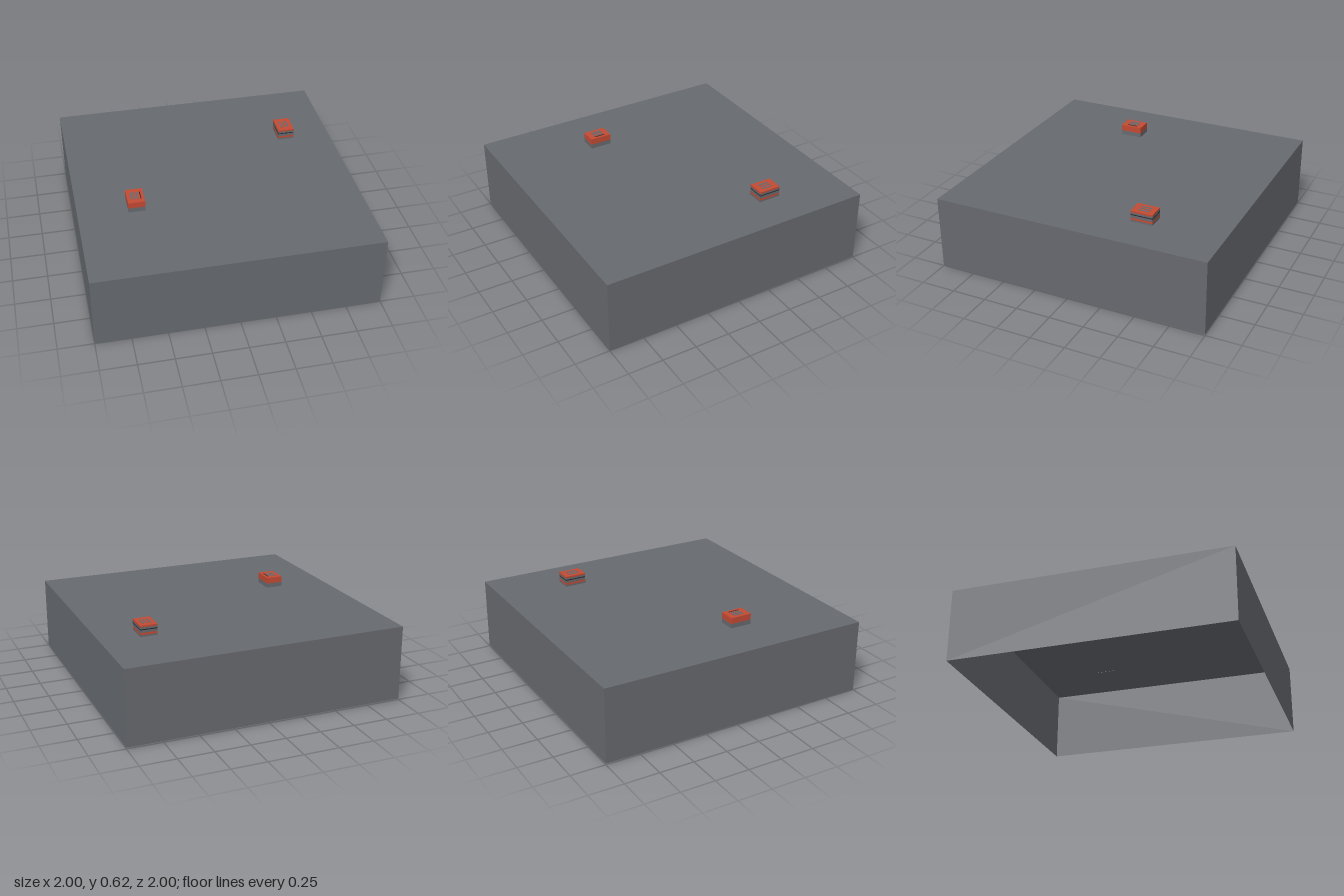
import * as THREE from 'three';

const grey = new THREE.MeshStandardMaterial({ color: 0x66696e, side: THREE.DoubleSide });
grey.name = 'slate grey';
const red = new THREE.MeshStandardMaterial({ color: 0xc24a33 });
red.name = 'brick red';
const dark = new THREE.MeshStandardMaterial({ color: 0x26282c });
dark.name = 'dark gap';

function box(parent, name, material, size, position) {
  const mesh = new THREE.Mesh(new THREE.BoxGeometry(...size), material);
  mesh.name = name;
  mesh.position.set(...position);
  parent.add(mesh);
}

// One flat sheet, placed and turned
function sheet(parent, name, w, h, position, rotation) {
  const mesh = new THREE.Mesh(new THREE.PlaneGeometry(w, h), grey);
  mesh.name = name;
  mesh.position.set(...position);
  mesh.rotation.set(...rotation);
  parent.add(mesh);
}

// Small block made of stacked layers: [material, bottom, top]
function rooftopUnit(name, x, y, z, layers, slots) {
  const unit = new THREE.Group();
  unit.name = name;
  unit.position.set(x, y, z);
  layers.forEach(([material, bottom, top]) => {
    box(unit, 'unitLayer', material, [0.12, top - bottom, 0.16], [0, (bottom + top) / 2, 0]);
  });
  // Slots on the lid
  const lid = layers[layers.length - 1][2];
  slots.forEach(([material, sx, width]) => {
    box(unit, 'lidSlot', material, [width, 0.003, 0.08], [sx, lid + 0.0005, 0]);
  });
  return unit;
}

export function createModel() {
  const model = new THREE.Group();
  model.name = 'slabWithUnits';

  // Hollow shell with an open underside, leaning very slightly forward
  const shell = new THREE.Group();
  shell.name = 'shell';
  const height = 0.535;
  const mid = height / 2;
  sheet(shell, 'roof', 2, 2, [0, height, 0], [-Math.PI / 2, 0, 0]);
  sheet(shell, 'frontWall', 2, height, [0, mid, 1], [0, 0, 0]);
  sheet(shell, 'backWall', 2, height, [0, mid, -1], [0, Math.PI, 0]);
  for (const side of [-1, 1]) {
    sheet(shell, side > 0 ? 'leftWall' : 'rightWall', 2, height, [side, mid, 0], [0, side * Math.PI / 2, 0]);
  }
  shell.position.y = 0.004;
  shell.rotation.x = 0.004;
  model.add(shell);

  // Two striped units standing on the roof
  model.add(rooftopUnit('frontUnit', -0.587, 0.535, 0.245,
    [[grey, 0, 0.036], [red, 0.036, 0.08]],
    [[grey, -0.027, 0.014], [grey, -0.006, 0.012], [grey, 0.016, 0.012], [dark, 0.036, 0.006]]));
  model.add(rooftopUnit('backUnit', 0.662, 0.539, -0.42,
    [[grey, 0, 0.015], [red, 0.015, 0.03], [grey, 0.03, 0.049], [dark, 0.049, 0.056],
      [grey, 0.056, 0.069], [red, 0.069, 0.081]],
    [[grey, -0.025, 0.012], [grey, 0, 0.01], [grey, 0.025, 0.012]]));

  return model;
}
